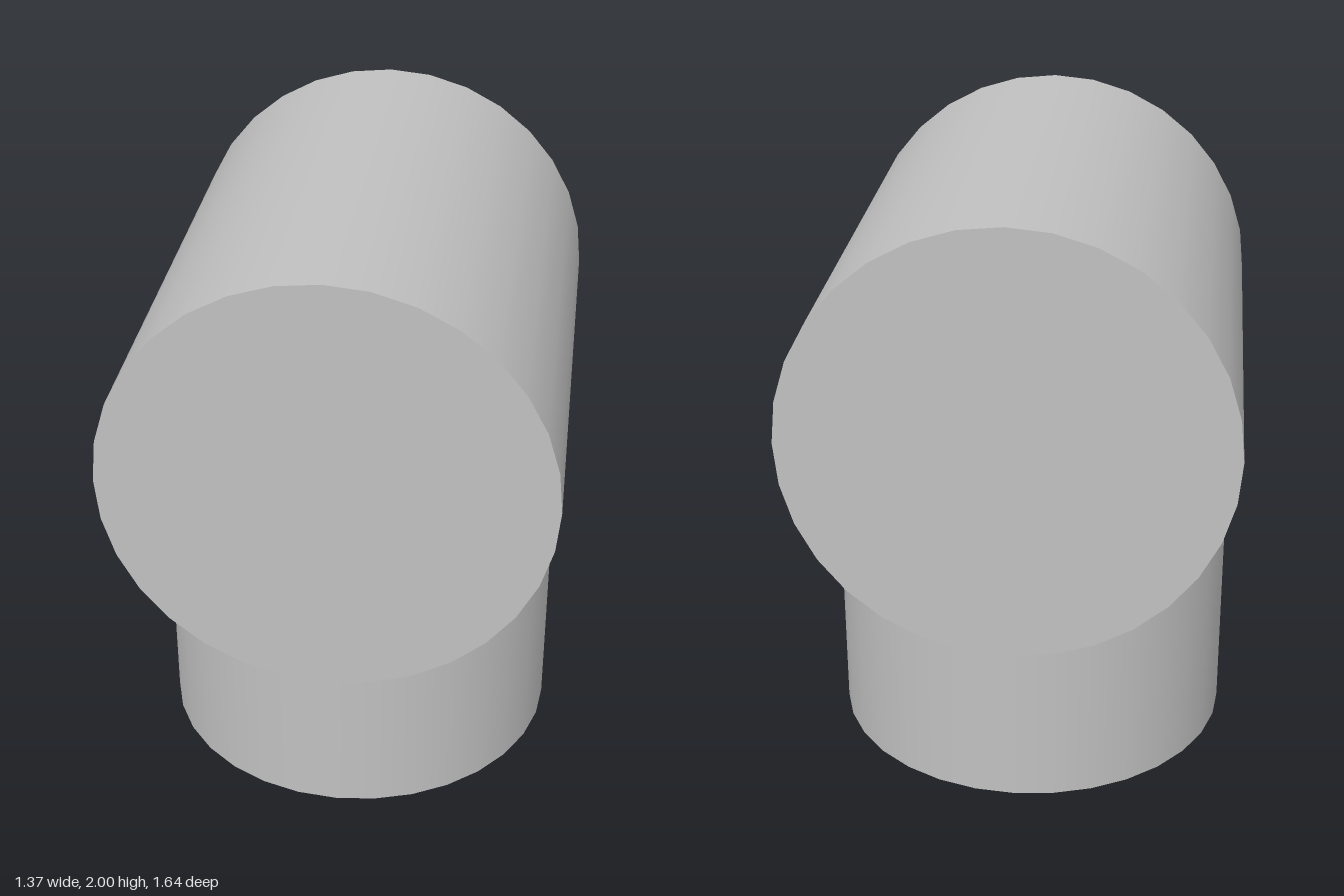
import * as THREE from 'three';

export function createModel() {
  const model = new THREE.Group();
  const grey = new THREE.MeshStandardMaterial({ color: 0xc0c0c0 });
  grey.name = 'light grey';

  const addCylinder = (name, radius, length, y) => {
    const mesh = new THREE.Mesh(new THREE.CylinderGeometry(radius, radius, length, 32), grey);
    mesh.name = name;
    mesh.position.y = y;
    model.add(mesh);
    return mesh;
  };

  // Horizontal barrel running front to back
  const barrelRadius = 0.686;
  const barrelY = 2 - barrelRadius;
  addCylinder('barrel', barrelRadius, 1.64, barrelY).rotation.x = Math.PI / 2;

  // Upright stem, ending at the barrel's axis
  addCylinder('stem', 0.655, barrelY, barrelY / 2);

  return model;
}
